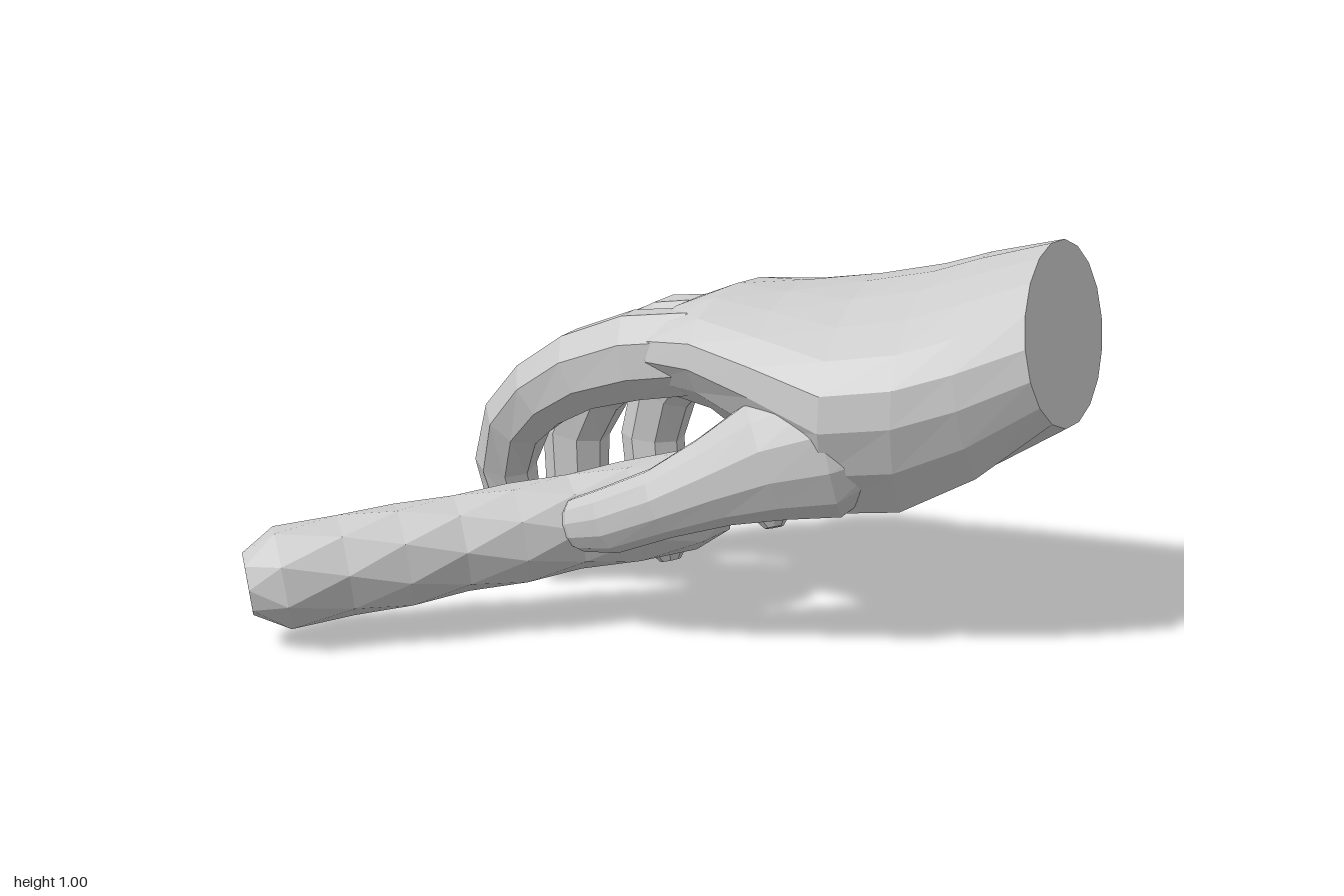
import * as THREE from 'three';

const material = new THREE.MeshStandardMaterial({ color: 0xcccccc, flatShading: true });
const V = (a) => new THREE.Vector3(a[0], a[1], a[2]);
const bump = (u, centre, width) => Math.exp(-(((u - centre) / width) ** 2));

// Skin a list of rings {c, side, up, under} (side x up points along the loft) and close both ends.
// An optional under(u) scales the lower half of a ring across its width u.
function skin(name, rings, sides, twist = 0) {
  const pos = [], index = [];
  rings.forEach(({ c, side, up, under }, i) => {
    for (let j = 0; j < sides; j++) {
      const a = ((j + 0.5 + twist * i) / sides) * Math.PI * 2;
      const u = Math.cos(a);
      const v = Math.sin(a) * (under && a > Math.PI ? under(u) : 1);
      pos.push(...c.clone().addScaledVector(side, u).addScaledVector(up, v).toArray());
    }
  });
  const last = rings.length - 1;
  for (let i = 0; i < last; i++) {
    for (let j = 0; j < sides; j++) {
      const k = (j + 1) % sides;
      const a = i * sides + j, b = i * sides + k, c = a + sides, d = b + sides;
      index.push(a, b, c, b, d, c);
    }
  }
  const start = pos.length / 3;
  pos.push(...rings[0].c.toArray(), ...rings[last].c.toArray());
  for (let j = 0; j < sides; j++) {
    const k = (j + 1) % sides;
    index.push(start, k, j, start + 1, last * sides + j, last * sides + k);
  }
  const geometry = new THREE.BufferGeometry();
  geometry.setAttribute('position', new THREE.Float32BufferAttribute(pos, 3));
  geometry.setIndex(index);
  geometry.computeVertexNormals();
  const mesh = new THREE.Mesh(geometry, material);
  mesh.name = name;
  return mesh;
}

// Tapered limb along nodes [x, y, z, halfWidth, halfHeight].
function limb(name, nodes, sides, twist) {
  const pts = nodes.map(V);
  const rings = nodes.map((n, i) => {
    const t = pts[Math.min(i + 1, pts.length - 1)].clone().sub(pts[Math.max(i - 1, 0)]).normalize();
    const side = new THREE.Vector3(0, 0, 1).addScaledVector(t, -t.z).normalize();
    const up = t.clone().cross(side);
    return { c: pts[i], side: side.multiplyScalar(n[3]), up: up.multiplyScalar(n[4] ?? n[3]) };
  });
  return skin(name, rings, sides, twist);
}

// Curled finger: a smooth path through the joints, its root sunk in the palm and its tip rounded.
function finger(name, joints, base, tip) {
  const curve = new THREE.CatmullRomCurve3(joints.map(V));
  const steps = [0, 0.15, 0.28, 0.42, 0.55, 0.68, 0.82, 0.92, 0.97, 1];
  const round = [0.5, 0.9, 1, 1, 1, 1, 1, 0.95, 0.75, 0.4];
  return limb(name, steps.map((s, i) => {
    const r = THREE.MathUtils.lerp(base, tip, s) * round[i];
    return [...curve.getPointAt(s).toArray(), r];
  }), 8);
}

export function createModel() {
  const group = new THREE.Group();
  const hand = new THREE.Group();
  hand.name = 'hand';
  group.add(hand);

  // Cupped palm and wrist: [thumb-side edge, little-finger edge, half thickness, lean,
  // thumb mound, hollow, heel]
  const palm = [
    [[0.9, 0.76, 0.25], [0.97, 0.81, -0.37], 0.215, -0.045, 0, 0, 0],
    [[0.74, 0.7, 0.31], [0.76, 0.77, -0.42], 0.22, -0.03, 0.45, 0.02, 0.15],
    [[0.6, 0.66, 0.35], [0.6, 0.73, -0.47], 0.22, 0, 0.75, 0.12, 0.2],
    [[0.43, 0.64, 0.37], [0.43, 0.69, -0.52], 0.215, 0, 0.75, 0.28, 0.2],
    [[0.24, 0.69, 0.31], [0.27, 0.65, -0.56], 0.195, 0, 0.3, 0.45, 0.2],
    [[0.07, 0.73, 0.26], [0.18, 0.63, -0.57], 0.18, 0, 0, 0.4, 0],
    [[-0.05, 0.73, 0.23], [0.12, 0.61, -0.53], 0.145, 0, 0, 0.25, 0],
    [[-0.14, 0.69, 0.17], [0.08, 0.58, -0.49], 0.07, 0, 0, 0, 0],
  ].map(([a, b, h, lean, mound, hollow, heel]) => {
    const A = V(a), B = V(b);
    return {
      c: A.clone().add(B).multiplyScalar(0.5),
      side: A.clone().sub(B).multiplyScalar(0.5),
      up: new THREE.Vector3(lean, h, -0.02),
      under: (u) => 1 + mound * bump(u, 0.65, 0.4) - hollow * bump(u, -0.1, 0.4) + heel * bump(u, -0.65, 0.35),
    };
  });
  hand.add(skin('palm', palm, 18));

  // Thumb growing out of the mound
  hand.add(limb('thumb', [
    [0.56, 0.55, 0.19, 0.08, 0.1],
    [0.42, 0.53, 0.225, 0.13, 0.18],
    [0.28, 0.49, 0.255, 0.12, 0.155],
    [0.15, 0.43, 0.28, 0.1, 0.115],
    [0.02, 0.37, 0.3, 0.08, 0.09],
    [-0.12, 0.31, 0.285, 0.07, 0.085],
    [-0.21, 0.285, 0.265, 0.058, 0.07],
    [-0.26, 0.265, 0.25, 0.03, 0.035],
  ], 12));

  // Fingers
  hand.add(finger('indexFinger', [[0.2, 0.72, 0.09], [-0.1, 0.7, 0.125], [-0.33, 0.61, 0.09],
    [-0.5, 0.45, 0.01], [-0.535, 0.31, -0.04], [-0.49, 0.165, -0.055]], 0.135, 0.07));
  hand.add(finger('middleFinger', [[0.22, 0.72, -0.08], [-0.06, 0.705, -0.13], [-0.28, 0.605, -0.21],
    [-0.41, 0.43, -0.245], [-0.415, 0.22, -0.25], [-0.36, 0.035, -0.24]], 0.128, 0.075));
  hand.add(finger('ringFinger', [[0.3, 0.69, -0.24], [0.05, 0.685, -0.32], [-0.13, 0.605, -0.385],
    [-0.25, 0.43, -0.425], [-0.25, 0.22, -0.425], [-0.2, 0.005, -0.4]], 0.12, 0.073));
  hand.add(finger('littleFinger', [[0.35, 0.67, -0.38], [0.17, 0.645, -0.475], [0.04, 0.575, -0.56],
    [-0.035, 0.45, -0.61], [0.01, 0.26, -0.59], [0.06, 0.085, -0.54]], 0.108, 0.065));

  // Rod held under the hand, facets staggered ring by ring
  const from = V([0.07, 0.315, -0.025]), to = V([-0.955, 0.16, 0.62]);
  const stations = [[0, 0.095], [0.07, 0.132], [0.2, 0.132], [0.32, 0.124], [0.44, 0.13], [0.56, 0.125],
    [0.68, 0.132], [0.8, 0.13], [0.93, 0.132], [1, 0.08]];
  group.add(limb('rod', stations.map(([s, r]) => [...from.clone().lerp(to, s).toArray(), r]), 8, 0.5));

  return group;
}
